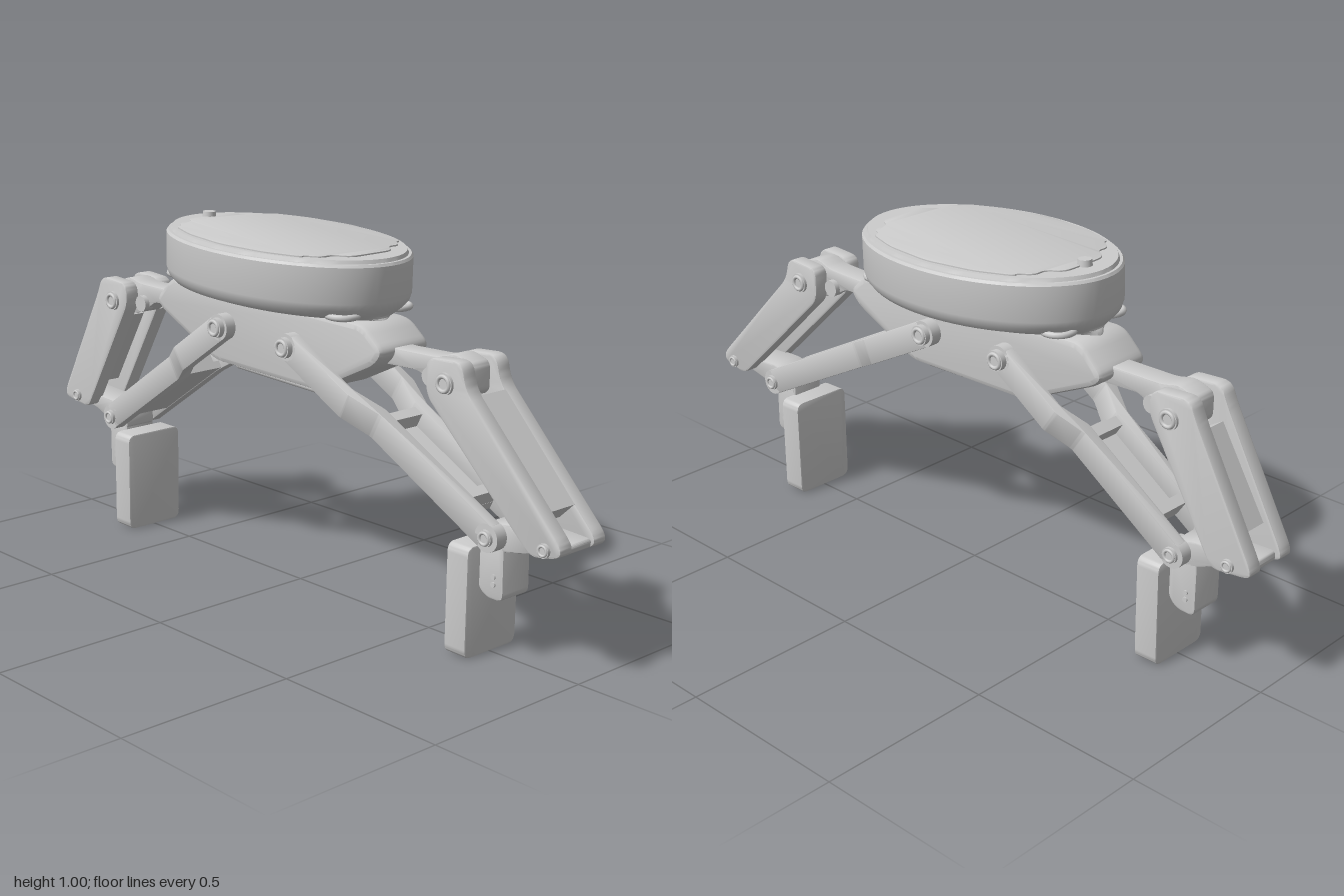
import * as THREE from 'three';
import { toCreasedNormals } from 'three/addons/utils/BufferGeometryUtils.js';
import { RoundedBoxGeometry } from 'three/addons/geometries/RoundedBoxGeometry.js';

const grey = new THREE.MeshStandardMaterial({ color: 0xcccccc });

function add(parent, name, geo, x = 0, y = 0, z = 0) {
  const m = new THREE.Mesh(geo, grey);
  m.name = name;
  m.position.set(x, y, z);
  parent.add(m);
  return m;
}

// closed outline with rounded corners
function roundedShape(pts, r) {
  const v = pts.map(p => new THREE.Vector2(p[0], p[1])), n = v.length;
  const shape = new THREE.Shape();
  v.forEach((p, i) => {
    const toward = q => p.clone().add(q.clone().sub(p).setLength(Math.min(r, q.distanceTo(p) * 0.48)));
    const s = toward(v[(i + n - 1) % n]), e = toward(v[(i + 1) % n]);
    if (i) shape.lineTo(s.x, s.y); else shape.moveTo(s.x, s.y);
    shape.quadraticCurveTo(p.x, p.y, e.x, e.y);
  });
  shape.closePath();
  return shape;
}

// outline extruded from z0 to z1
function plateGeo(pts, z0, z1, r = 0.02, bevel = 0.005) {
  const g = new THREE.ExtrudeGeometry(roundedShape(pts, r), {
    depth: z1 - z0 - 2 * bevel, bevelThickness: bevel, bevelSize: bevel,
    bevelOffset: -bevel, bevelSegments: 2, curveSegments: 6
  });
  g.translate(0, 0, z0 + bevel);
  return toCreasedNormals(g, 0.6);
}

// bolt or boss whose axis runs along z
function pin(parent, name, p, r, z0, z1) {
  const g = new THREE.CylinderGeometry(r, r, Math.abs(z1 - z0), 28);
  g.rotateX(Math.PI / 2);
  return add(parent, name, g, p[0], p[1], (z0 + z1) / 2);
}

// hex-socket bolt heads on both sides
function bolts(parent, name, p, r, z) {
  for (const s of [1, -1]) {
    pin(parent, name, p, r, s * (z - 0.02), s * (z + 0.008));
    const ring = new THREE.TorusGeometry(r * 0.68, r * 0.2, 8, 24);
    add(parent, name + 'Ring', ring, p[0], p[1], s * (z + 0.008));
  }
}

// stacked ellipses, rows of [y, half x, half z]
function loft(rows, seg = 72) {
  const pos = [], idx = [];
  rows.forEach(([y, hx, hz], i) => {
    for (let j = 0; j < seg; j++) {
      const t = j / seg * Math.PI * 2;
      pos.push(Math.cos(t) * hx, y, Math.sin(t) * hz);
      if (i === rows.length - 1) continue;
      const a = i * seg + j, b = i * seg + (j + 1) % seg, c = a + seg, d = b + seg;
      idx.push(a, c, b, b, c, d);
    }
  });
  const g = new THREE.BufferGeometry();
  g.setAttribute('position', new THREE.Float32BufferAttribute(pos, 3));
  g.setIndex(idx);
  return toCreasedNormals(g, 0.6);
}

function buildBody(root) {
  const body = new THREE.Group();
  body.name = 'body';
  body.position.set(-0.06, 0.82, 0);
  body.rotation.z = -0.035;
  root.add(body);
  // oval housing flaring out of the narrow neck
  add(body, 'housing', loft([
    [-0.1, 0.36, 0.08], [-0.04, 0.385, 0.075], [-0.025, 0.385, 0.085], [-0.014, 0.38, 0.11],
    [-0.009, 0.375, 0.16], [-0.004, 0.375, 0.215], [0.006, 0.385, 0.245], [0.022, 0.399, 0.258],
    [0.04, 0.405, 0.263], [0.135, 0.405, 0.263], [0.142, 0.4, 0.258], [0.142, 0.392, 0.25],
    [0.152, 0.388, 0.246], [0.152, 0.001, 0.001]]));
  // thin lid panel with notched corners
  const quarter = [[0.33, 0.075], [0.285, 0.1], [0.29, 0.14], [0.25, 0.165], [0.255, 0.178], [0.15, 0.217], [0, 0.237]];
  const half = [...quarter, ...quarter.slice(0, -1).reverse().map(([x, z]) => [-x, z])];
  const panel = plateGeo([...half, ...half.slice().reverse().map(([x, z]) => [x, -z])], 0, 0.005, 0.03, 0.001);
  add(body, 'lidPanel', panel.rotateX(-Math.PI / 2), 0, 0.151, 0);
  add(body, 'lidButton', new THREE.CylinderGeometry(0.018, 0.02, 0.018, 24), -0.33, 0.16, 0);
  // screw bosses below the housing
  for (const sx of [1, -1]) for (const sz of [1, -1]) {
    const ring = new THREE.TorusGeometry(0.04, 0.009, 8, 28).rotateX(Math.PI / 2);
    add(body, 'screwRecess', ring, sx * 0.325, 0.004, sz * 0.095);
    add(body, 'screw', new THREE.CylinderGeometry(0.022, 0.022, 0.02, 20), sx * 0.325, 0.0, sz * 0.095);
  }
  // palm block with the finger pivots
  add(root, 'palm', plateGeo([[-0.45, 0.815], [-0.525, 0.745], [-0.505, 0.715], [-0.26, 0.6], [0.155, 0.59],
    [0.375, 0.695], [0.405, 0.735], [0.33, 0.795]], -0.09, 0.09, 0.03, 0.015));
  const keel = add(root, 'palmKeel', new RoundedBoxGeometry(0.36, 0.04, 0.1, 2, 0.01), -0.04, 0.594, 0);
  keel.rotation.z = -0.035;
}

function buildFinger(root, f) {
  const finger = new THREE.Group();
  finger.name = f.name;
  root.add(finger);

  // fixed arm from palm to the outer link
  add(finger, 'palmArm', plateGeo(f.arm, -0.035, 0.035));
  for (const s of [1, -1]) pin(finger, 'armBoss', f.boss, 0.024, s * 0.02, s * 0.05);

  // outer link: two cheeks and a bridging plate
  const [a, b] = f.outer;
  for (const s of [1, -1]) {
    const z = [s * 0.04, s * 0.085].sort((p, q) => p - q);
    add(finger, 'outerLinkCheek', plateGeo(f.outline, z[0], z[1], 0.03));
  }
  const len = Math.hypot(b[0] - a[0], b[1] - a[1]);
  const bridge = new THREE.Group();
  bridge.position.set((a[0] + b[0]) / 2, (a[1] + b[1]) / 2, 0);
  bridge.rotation.z = Math.atan2(b[1] - a[1], b[0] - a[0]);
  finger.add(bridge);
  bridge.name = 'outerLinkBridge';
  add(bridge, 'outerLinkPlate', new THREE.BoxGeometry(len * 0.7, 0.06, 0.1), 0, f.side * 0.015, 0);
  bolts(finger, 'outerLinkTopBolt', a, 0.028, 0.085);
  bolts(finger, 'outerLinkTipBolt', b, 0.018, 0.085);

  // lower link: rails that step out around the palm, joined by an underside plate
  const [c, d] = f.lower, L = Math.hypot(d[0] - c[0], d[1] - c[1]), T = 0.037;
  const link = new THREE.Group();
  link.name = 'lowerLink';
  link.position.set(c[0], c[1], 0);
  link.rotation.z = Math.atan2(d[1] - c[1], d[0] - c[0]);
  finger.add(link);
  for (const s of [1, -1]) {
    const rail = [[0, 0.09], [0.3, 0.09], [0.42, 0.052], [1, 0.052], [1, 0.087], [0.44, 0.087], [0.32, 0.122], [0, 0.122]]
      .map(([u, z]) => [u * L, -s * z]);
    add(link, 'lowerLinkRail', plateGeo(rail, -T, T, 0.008, 0.003).rotateX(Math.PI / 2));
    pin(link, 'lowerLinkPalmEnd', [0, 0], T, s * 0.09, s * 0.122);
    pin(link, 'lowerLinkTipEnd', [L, 0], T, s * 0.052, s * 0.087);
  }
  add(link, 'lowerLinkPlate', new THREE.BoxGeometry(L * 0.46, 0.022, 0.12), L * 0.63, -f.side * 0.024, 0);
  add(link, 'lowerLinkRib', new THREE.BoxGeometry(0.03, 0.055, 0.12), L * 0.45, 0, 0);
  add(link, 'lowerLinkRib', new THREE.BoxGeometry(0.03, 0.055, 0.12), L * 0.84, 0, 0);
  bolts(link, 'lowerLinkPalmBolt', [0, 0], 0.028, 0.13);
  bolts(link, 'lowerLinkTipBolt', [L, 0], 0.022, 0.087);

  // fingertip: knuckle, stem and pad
  add(finger, 'knuckle', plateGeo(f.knuckle, -0.05, 0.05, 0.015));
  const x = f.padX;
  add(finger, 'stem', plateGeo([[x + f.side * 0.03, 0.34], [x + f.side * 0.115, 0.34], [x + f.side * 0.115, 0.165],
    [x + f.side * 0.06, 0.165], [x + f.side * 0.03, 0.19]], -0.05, 0.05, 0.02));
  for (const y of [0.205, 0.225]) pin(finger, 'stemPin', [x + f.side * 0.085, y], 0.007, -0.054, 0.054);
  const pad = plateGeo([[-0.095, 0.002], [0.095, 0.002], [0.095, 0.298], [-0.095, 0.298]], -0.035, 0.035, 0.025, 0.003);
  const m = add(finger, 'fingerPad', pad.rotateY(Math.PI / 2), x, 0, 0);
  m.rotation.z = -0.015;
}

export function createModel() {
  const root = new THREE.Group();
  root.name = 'gripper';
  buildBody(root);
  buildFinger(root, {
    name: 'leftFinger', side: 1, padX: 0.678,
    arm: [[0.3, 0.75], [0.4, 0.738], [0.55, 0.742], [0.6, 0.76], [0.66, 0.74], [0.66, 0.66], [0.59, 0.645],
      [0.53, 0.665], [0.48, 0.695], [0.3, 0.69]],
    boss: [0.53, 0.69],
    outer: [[0.62, 0.695], [0.95, 0.35]],
    outline: [[0.553, 0.75], [0.672, 0.757], [0.687, 0.69], [1, 0.365], [0.995, 0.338], [0.905, 0.32], [0.553, 0.655]],
    lower: [[0.076, 0.7], [0.767, 0.335]],
    knuckle: [[0.71, 0.35], [0.8, 0.37], [0.99, 0.36], [0.985, 0.335], [0.9, 0.318], [0.79, 0.295], [0.71, 0.295]]
  });
  buildFinger(root, {
    name: 'rightFinger', side: -1, padX: -0.703,
    arm: [[-0.4, 0.75], [-0.5, 0.755], [-0.67, 0.757], [-0.72, 0.77], [-0.78, 0.75], [-0.78, 0.675], [-0.71, 0.66],
      [-0.65, 0.675], [-0.6, 0.71], [-0.4, 0.7]],
    boss: [-0.65, 0.70],
    outer: [[-0.737, 0.702], [-0.935, 0.375]],
    outline: [[-0.795, 0.768], [-0.675, 0.76], [-0.67, 0.7], [-0.865, 0.375], [-0.885, 0.345], [-1, 0.36],
      [-1, 0.385], [-0.815, 0.72]],
    lower: [[-0.204, 0.71], [-0.763, 0.338]],
    knuckle: [[-0.73, 0.35], [-0.8, 0.375], [-0.985, 0.385], [-0.985, 0.355], [-0.88, 0.335], [-0.8, 0.3], [-0.73, 0.3]]
  });
  return root;
}
